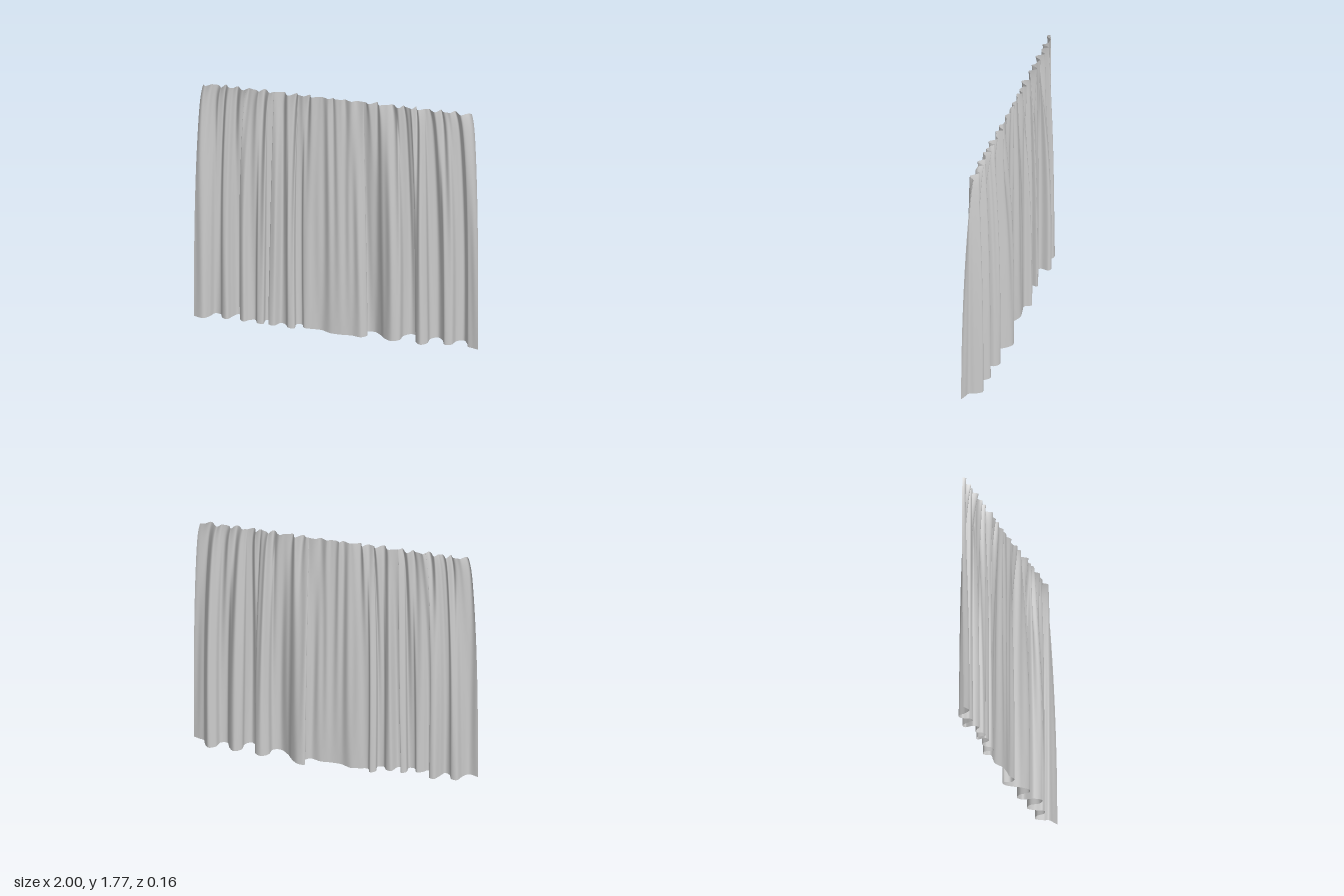
import * as THREE from 'three';

// Hem line seen from above as x, z pairs; deep folds tuck back under themselves
const HEM = [
  -1, 0.03, -0.93, 0.05, -0.895, 0.01, -0.87, -0.045, -0.83, -0.04, -0.805, 0.01, -0.77, 0.025, -0.745, -0.02,
  -0.715, -0.07, -0.68, -0.06, -0.685, 0, -0.65, 0.03, -0.62, 0, -0.58, -0.015, -0.555, 0.03, -0.515, 0.03,
  -0.51, -0.03, -0.475, -0.04, -0.48, 0.02, -0.44, 0.03, -0.405, -0.03, -0.37, -0.02, -0.34, 0.02, -0.30, 0.015,
  -0.30, -0.05, -0.265, -0.065, -0.24, -0.02, -0.18, -0.025, -0.12, -0.03, -0.05, 0, 0.02, 0.005, 0.1, 0,
  0.17, 0.015, 0.205, -0.02, 0.19, -0.075, 0.24, -0.08, 0.29, -0.04, 0.33, 0.01, 0.39, 0.05, 0.44, 0.03,
  0.455, -0.04, 0.5, -0.075, 0.545, -0.05, 0.555, 0.03, 0.60, 0.075, 0.64, 0.04, 0.645, -0.03, 0.69, -0.065,
  0.73, -0.03, 0.76, 0.03, 0.805, 0.02, 0.825, -0.04, 0.87, -0.065, 0.905, -0.02, 0.92, 0.02, 0.96, 0.035, 1, 0.05,
];
const HEIGHT = 1.775;
const COLUMNS = 700, ROWS = 44;

// Small gathered pleats at the top edge
function pleat(x) {
  const warp = x + 0.018 * Math.sin(9 * x + 1) + 0.008 * Math.sin(23 * x);
  const strength = 0.45 + 0.55 * THREE.MathUtils.smoothstep(Math.abs(x), 0.05, 0.35);
  return strength * (0.019 * Math.sin(warp * 62) + 0.009 * Math.sin(warp * 101 + 2));
}

function curtainGeometry() {
  const points = [];
  for (let i = 0; i < HEM.length; i += 2) points.push(new THREE.Vector3(HEM[i], 0, HEM[i + 1]));
  const hem = new THREE.CatmullRomCurve3(points, false, 'centripetal');
  hem.arcLengthDivisions = 1200;
  const line = hem.getSpacedPoints(COLUMNS);

  const geometry = new THREE.PlaneGeometry(2, HEIGHT, COLUMNS, ROWS);
  const position = geometry.attributes.position;
  for (let row = 0; row <= ROWS; row++) {
    // rows crowd toward the top, where the cloth gathers
    const t = 1 - Math.pow(row / ROWS, 1.35);
    const folds = 1 - Math.pow(t, 2.4);
    const gather = Math.pow(t, 2.2);
    const width = 1 - 0.045 * Math.pow(t, 3) - 0.015 * Math.pow(t, 30);
    for (let col = 0; col <= COLUMNS; col++) {
      const p = line[col];
      const even = -1 + 2 * col / COLUMNS;
      // folds straighten and drift a little on the way up
      const x = THREE.MathUtils.lerp(p.x, even, 0.25 * t * t);
      const slant = 0.008 * Math.sin(14 * p.x + 2) * Math.sin(t * Math.PI);
      const edge = 1 - Math.pow(Math.abs(even), 12);
      const curl = 0.006 * Math.sin(p.x * 70) * Math.pow(t, 25);
      const ripple = 0.004 * Math.sin(p.x * 85 + 2 * t) * Math.sin(t * Math.PI);
      const sag = 0.028 * THREE.MathUtils.smoothstep(Math.abs(p.x), 0.06, 0.6);
      position.setXYZ(
        row * (COLUMNS + 1) + col,
        x * width + (slant + curl) * edge,
        THREE.MathUtils.lerp(sag, HEIGHT, t),
        p.z * folds + pleat(x) * gather + ripple
      );
    }
  }
  geometry.computeVertexNormals();
  return geometry;
}

export function createModel() {
  const group = new THREE.Group();
  group.name = 'curtain';
  // Single thin sheet of cloth
  const cloth = new THREE.Mesh(
    curtainGeometry(),
    new THREE.MeshStandardMaterial({ color: 0xcccccc, side: THREE.DoubleSide })
  );
  cloth.name = 'pleatedCloth';
  group.add(cloth);
  return group;
}
